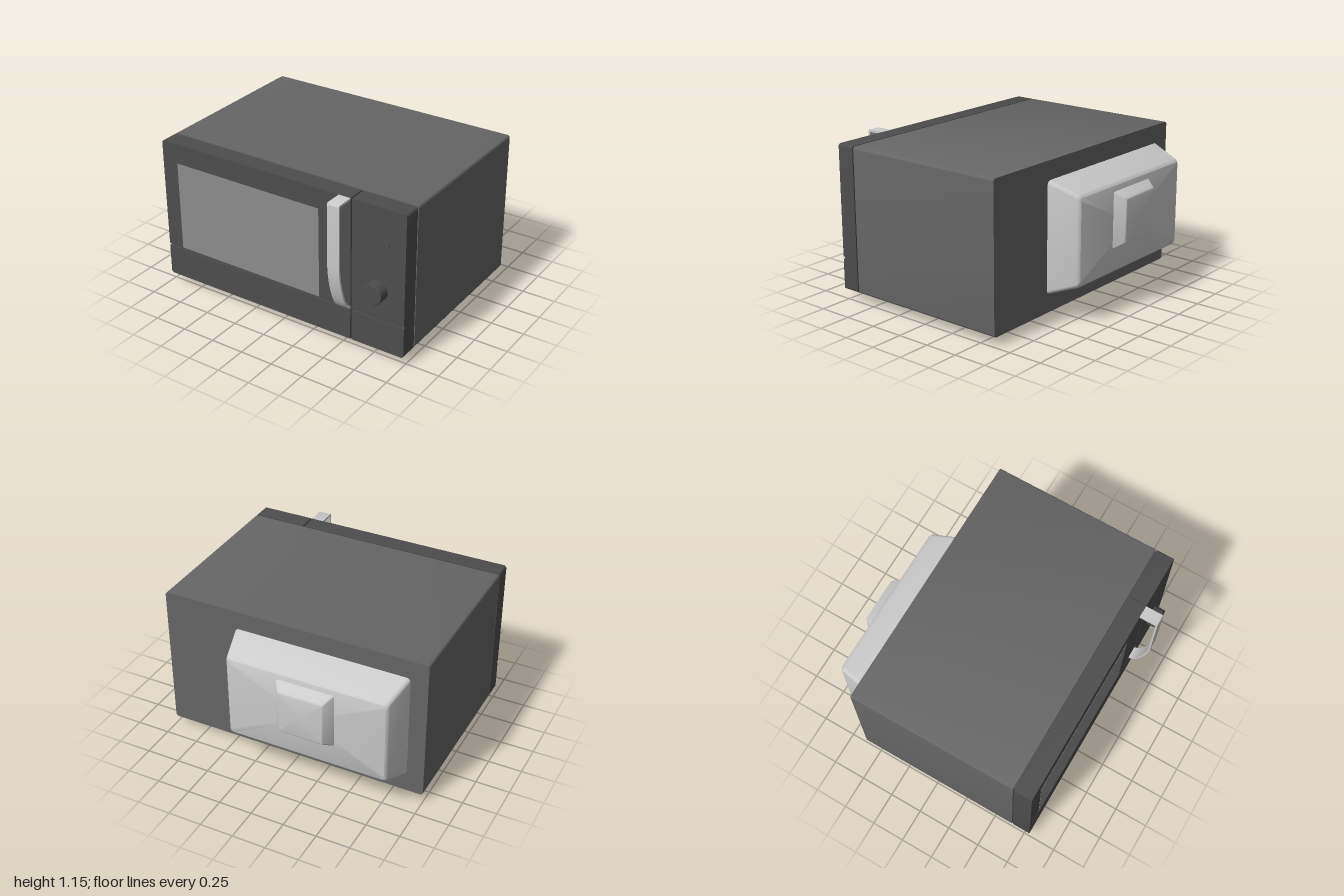
import * as THREE from 'three';
import { toCreasedNormals } from 'three/addons/utils/BufferGeometryUtils.js';

const paint = (color) => new THREE.MeshStandardMaterial({ color });
const shellMat = paint(0x666666);
const darkMat = paint(0x4d4d4d);
const glassMat = paint(0x8c8c8c);
const lightMat = paint(0xcccccc);

function add(parent, name, geometry, material, x = 0, y = 0, z = 0) {
  const mesh = new THREE.Mesh(geometry, material);
  mesh.name = name;
  mesh.position.set(x, y, z);
  parent.add(mesh);
  return mesh;
}

// Rectangle outline with a radius per corner: bottom left, bottom right, top right, top left
function outline(x0, x1, y0, y1, [bl, br, tr, tl], steps = 5) {
  const corners = [
    [x0 + bl, y0 + bl, bl, Math.PI],
    [x1 - br, y0 + br, br, Math.PI * 1.5],
    [x1 - tr, y1 - tr, tr, 0],
    [x0 + tl, y1 - tl, tl, Math.PI / 2],
  ];
  const points = [];
  for (const [cx, cy, r, start] of corners) {
    const n = r > 0 ? steps : 0;
    for (let i = 0; i <= n; i++) {
      const a = start + (n ? (i / n) * Math.PI / 2 : 0);
      points.push(new THREE.Vector2(cx + r * Math.cos(a), cy + r * Math.sin(a)));
    }
  }
  return points;
}

// Slab between two z values with the given outline
function slab(x0, x1, y0, y1, radii, z0, z1) {
  const shape = new THREE.Shape(outline(x0, x1, y0, y1, radii));
  const geo = new THREE.ExtrudeGeometry(shape, { depth: z1 - z0, bevelEnabled: false });
  geo.translate(0, 0, z0);
  return toCreasedNormals(geo, 0.6);
}

// Rounded rectangles [x0, x1, y0, y1, radius, z] joined towards -z, closed at the end
function loft(sections) {
  const rings = sections.map(([x0, x1, y0, y1, r, z]) =>
    outline(x0, x1, y0, y1, [r, r, r, r]).map((p) => new THREE.Vector3(p.x, p.y, z)));
  const pos = [];
  const tri = (...corners) => corners.forEach((p) => pos.push(p.x, p.y, p.z));
  const n = rings[0].length;
  for (let i = 0; i < rings.length - 1; i++) {
    for (let j = 0; j < n; j++) {
      const k = (j + 1) % n;
      const [a, b, c, d] = [rings[i][j], rings[i][k], rings[i + 1][k], rings[i + 1][j]];
      tri(a, d, c);
      tri(a, c, b);
    }
  }
  const last = rings[rings.length - 1];
  const [x0, x1, y0, y1, , z] = sections[sections.length - 1];
  const centre = new THREE.Vector3((x0 + x1) / 2, (y0 + y1) / 2, z);
  for (let j = 0; j < n; j++) tri(centre, last[(j + 1) % n], last[j]);
  const geo = new THREE.BufferGeometry();
  geo.setAttribute('position', new THREE.Float32BufferAttribute(pos, 3));
  return toCreasedNormals(geo, 0.6);
}

export function createModel() {
  const model = new THREE.Group();
  model.name = 'microwaveOven';
  const r = 0.02;
  const [bottom, top] = [0.065, 1.148];

  // Outer case and the recessed joint behind the front
  add(model, 'case', slab(-1, 1, bottom, top, [r, r, r, r], -0.62, 0.645), shellMat);
  add(model, 'frontJoint', slab(-0.985, 0.985, bottom + 0.015, top - 0.015, [r, r, r, r], 0.64, 0.657), darkMat);

  // Door and control panel: a backing plate each, faced by two plates with a groove between
  const fronts = [
    ['door', -1, 0.58, [r, 0, 0, r]],
    ['controlPanel', 0.59, 1, [0, r, r, 0]],
  ];
  for (const [name, x0, x1, [bl, br, tr, tl]] of fronts) {
    const group = new THREE.Group();
    group.name = name;
    model.add(group);
    add(group, name + 'Backing', slab(x0, x1, bottom, top, [bl, br, tr, tl], 0.655, 0.778), darkMat);
    add(group, name + 'LowerFace', slab(x0, x1, bottom, 0.297, [bl, br, 0, 0], 0.778, 0.79), darkMat);
    add(group, name + 'UpperFace', slab(x0, x1, 0.315, top, [0, 0, tr, tl], 0.778, 0.79), darkMat);
  }

  // Window and display lie almost flush with the front
  add(model, 'window', new THREE.BoxGeometry(1.2, 0.68, 0.01), glassMat, -0.272, 0.656, 0.787);
  add(model, 'display', new THREE.BoxGeometry(0.16, 0.11, 0.01), darkMat, 0.795, 0.85, 0.786);

  // Door handle: a bent strip, drawn as a side profile (z, y) and extruded across x
  const strip = new THREE.Shape();
  strip.moveTo(0.788, 1.148);
  strip.lineTo(0.91, 1.148);
  strip.quadraticCurveTo(0.926, 1.148, 0.926, 1.13);
  strip.lineTo(0.926, 0.68);
  strip.bezierCurveTo(0.924, 0.56, 0.86, 0.31, 0.788, 0.312);
  strip.lineTo(0.788, 0.328);
  strip.bezierCurveTo(0.845, 0.33, 0.91, 0.56, 0.912, 0.68);
  strip.lineTo(0.912, 1.12);
  strip.quadraticCurveTo(0.912, 1.132, 0.9, 1.132);
  strip.lineTo(0.788, 1.132);
  const handle = new THREE.ExtrudeGeometry(strip, { depth: 0.092, bevelEnabled: false, curveSegments: 14 });
  handle.rotateY(-Math.PI / 2);
  add(model, 'handle', toCreasedNormals(handle, 0.6), lightMat, 0.58);

  // Control knob with a softened rim
  const knobProfile = [[0.075, 0], [0.075, 0.012], [0.073, 0.076], [0.069, 0.08], [0, 0.08]];
  const knob = new THREE.LatheGeometry(knobProfile.map(([x, y]) => new THREE.Vector2(x, y)), 40);
  knob.rotateX(Math.PI / 2);
  add(model, 'knob', toCreasedNormals(knob, 0.6), darkMat, 0.795, 0.53, 0.79);

  // Rear housing and the smaller raised block on it
  add(model, 'rearHousing', loft([
    [-0.875, 0.445, 0.198, 1.012, 0.03, -0.615],
    [-0.824, 0.394, 0.277, 0.938, 0.03, -0.825],
    [-0.818, 0.388, 0.286, 0.929, 0.03, -0.84],
    [-0.805, 0.375, 0.3, 0.915, 0.03, -0.85],
  ]), lightMat);
  add(model, 'rearBlock', loft([
    [-0.435, 0.005, 0.453, 0.877, 0.015, -0.845],
    [-0.393, -0.037, 0.497, 0.838, 0.015, -0.915],
    [-0.385, -0.045, 0.505, 0.83, 0.015, -0.925],
    [-0.375, -0.055, 0.515, 0.82, 0.015, -0.928],
  ]), lightMat);

  // Four tapered feet
  for (const x of [-0.74, 0.74]) {
    for (const z of [0.445, -0.41]) {
      add(model, 'foot', new THREE.CylinderGeometry(0.05, 0.039, 0.07, 24), darkMat, x, 0.035, z);
    }
  }
  return model;
}
